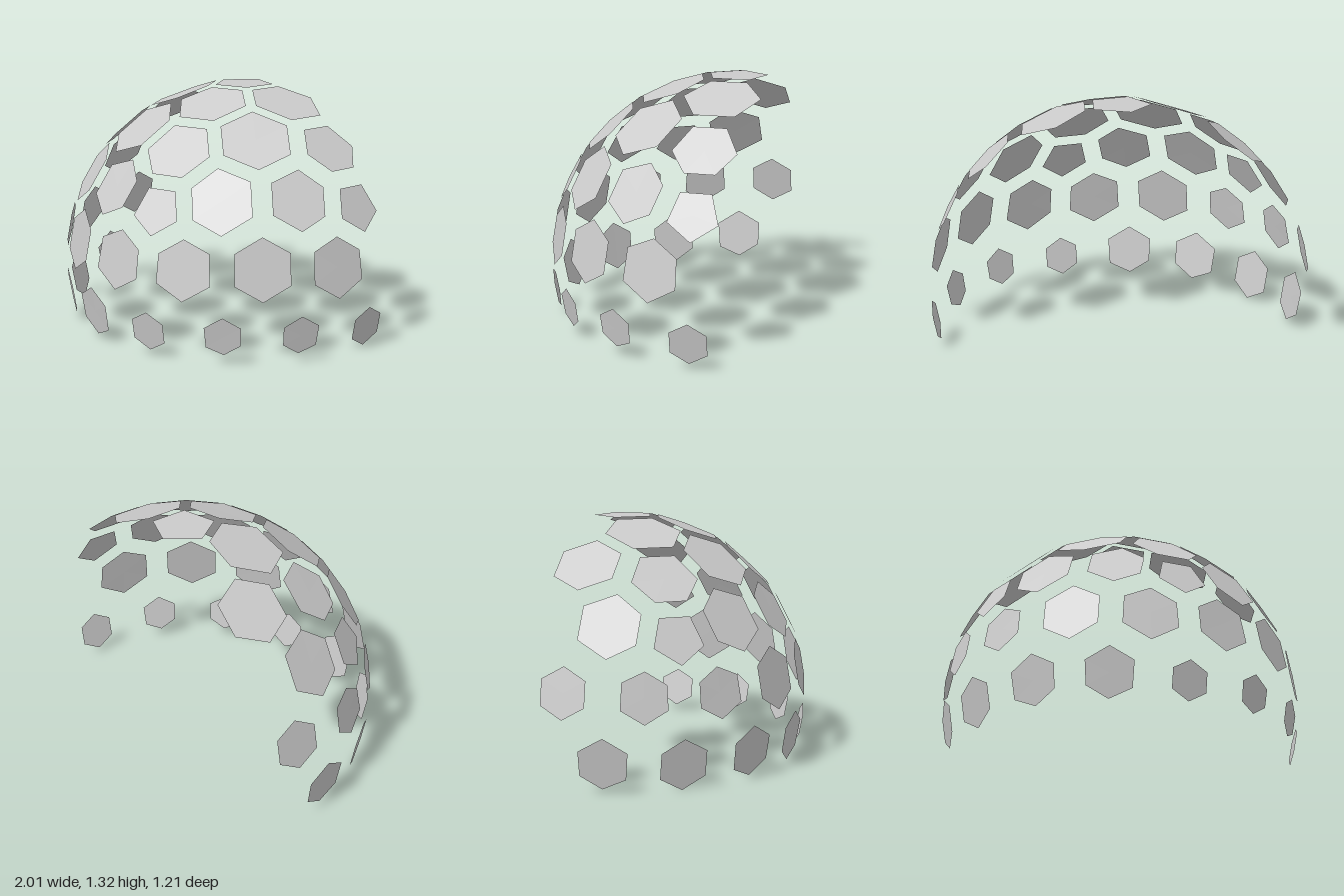
import * as THREE from 'three';

// Rings of cell centres on a unit sphere, five-fold about the vertical axis:
// height, azimuths within one 72 degree sector, size of each panel from azimuth 0 to 180.
const RINGS = [
  { name: 'crownPanel', y: [0.939], az: [0], size: [0.87, 0.86, 0.89] },
  { name: 'upperPanel', y: [0.795], az: [36], size: [0.84, 0.85, 0.76] },
  { name: 'shoulderPanel', y: [0.727], az: [0], size: [0.71, 0.81, 0.76] },
  { name: 'midPanel', y: [0.515, 0.515], az: [22.4, 49.6], size: [0.71, 0.775, 0.71, 0.775, 0.75] },
  { name: 'pentagonPanel', y: [0.447], az: [0], size: [0.72, 0.73, 0.74] },
  { name: 'lowerPanel', y: [0.172, 0.187, 0.172], az: [11.8, 36, 60.2],
    size: [0.7, 0.69, 0.7, 0.7, 0.7, 0.58, 0.58, 0.56] },
  { name: 'basePanel', y: [-0.187, -0.172, -0.172], az: [0, 24.2, 47.8],
    size: [0.46, 0.46, 0.46, 0.45, 0.6, 0.6, 0.58, 0.6] },
  // Rings below the dome, needed only as neighbours
  { y: [-0.447], az: [36], size: [] },
  { y: [-0.515, -0.515], az: [58.4, 13.6], size: [] },
];
const RADIUS = 1.005;
const CENTRE = new THREE.Vector3(0, 0.325, -0.4);

function buildCells() {
  const cells = [{ p: new THREE.Vector3(0, 1, 0), name: 'topPanel', size: 0.88 }];
  for (const ring of RINGS) {
    let n = 0;
    for (let k = 0; k < 5; k++) {
      ring.az.forEach((offset, i) => {
        const a = THREE.MathUtils.degToRad(offset + 72 * k);
        const y = ring.y[i];
        const r = Math.sqrt(1 - y * y);
        const p = new THREE.Vector3(r * Math.cos(a), y, r * Math.sin(a));
        cells.push({ p, name: ring.name, size: ring.size[n++] });
      });
    }
  }
  return cells;
}

// Corners lie midway between a cell and each pair of adjacent neighbours
function panelCorners(cell, cells) {
  const c = cell.p;
  const helper = Math.abs(c.y) > 0.9 ? new THREE.Vector3(1, 0, 0) : new THREE.Vector3(0, 1, 0);
  const u = new THREE.Vector3().crossVectors(helper, c).normalize();
  const v = new THREE.Vector3().crossVectors(c, u);
  const angle = (q) => Math.atan2(q.dot(v), q.dot(u));
  const around = cells.map((o) => o.p)
    .filter((q) => q !== c && q.distanceTo(c) < 0.5)
    .sort((a, b) => angle(a) - angle(b));
  return around.map((q, i) => {
    const corner = q.clone().add(around[(i + 1) % around.length]).add(c).normalize();
    return c.clone().lerp(corner, cell.size).normalize().multiplyScalar(RADIUS);
  });
}

// Flat polygon as a fan about its mean point
function panelGeometry(corners) {
  const mid = new THREE.Vector3();
  corners.forEach((p) => mid.addScaledVector(p, 1 / corners.length));
  const points = [];
  corners.forEach((p, i) => points.push(mid, p, corners[(i + 1) % corners.length]));
  const geometry = new THREE.BufferGeometry().setFromPoints(points);
  geometry.computeVertexNormals();
  return geometry;
}

export function createModel() {
  const model = new THREE.Group();
  model.name = 'panelledHalfDome';
  const material = new THREE.MeshStandardMaterial({
    color: 0xcccccc, flatShading: true, side: THREE.DoubleSide,
  });
  const cells = buildCells();
  for (const cell of cells) {
    if (!cell.size) continue;
    const mesh = new THREE.Mesh(panelGeometry(panelCorners(cell, cells)), material);
    mesh.name = cell.name;
    mesh.position.copy(CENTRE);
    model.add(mesh);
  }
  return model;
}
